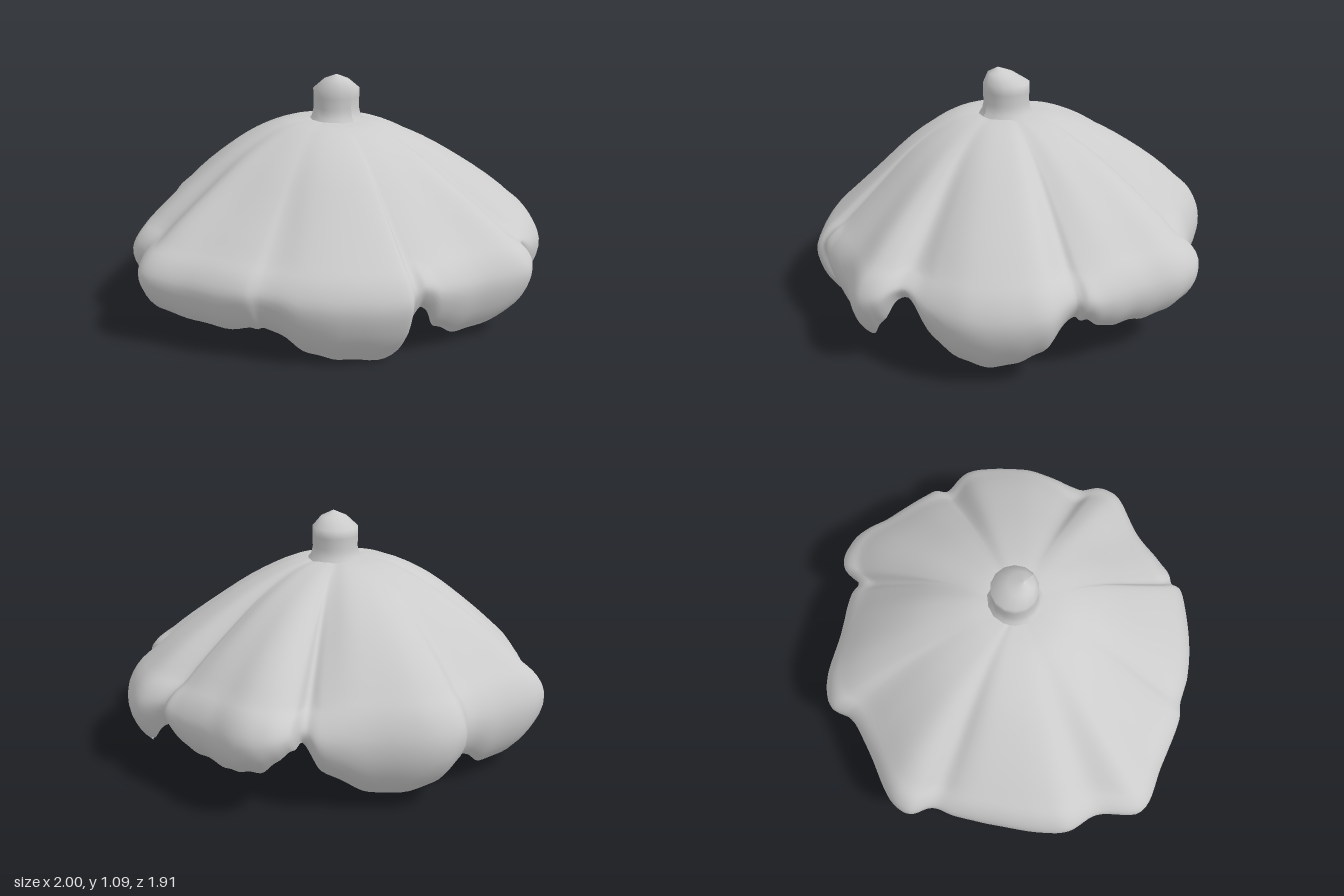
import * as THREE from 'three';

const V = (x, y, z) => new THREE.Vector3(x, y, z);
const material = new THREE.MeshStandardMaterial({ color: 0xcccccc, side: THREE.DoubleSide });

// Plan outline of the eight petals: x, z of the widest point and y of the rim below it
const outline = new THREE.CatmullRomCurve3([
  [0.78, -0.42, 0.31], [0.88, -0.43, 0.32], [0.96, -0.37, 0.25], [1.0, -0.25, 0.21],
  [0.98, -0.08, 0.19], [0.97, 0.1, 0.21], [0.95, 0.21, 0.26], [0.91, 0.25, 0.27],
  [0.94, 0.4, 0.17], [0.88, 0.53, 0.09], [0.75, 0.68, 0.08], [0.6, 0.76, 0.18],
  [0.46, 0.8, 0.34], [0.42, 0.9, 0.22], [0.33, 0.95, 0.12], [0.1, 0.89, 0.06],
  [-0.1, 0.87, 0.13], [-0.18, 0.85, 0.24], [-0.23, 0.83, 0.19], [-0.29, 0.85, 0.05],
  [-0.5, 0.71, 0.01], [-0.64, 0.57, 0.06], [-0.73, 0.43, 0.15], [-0.78, 0.38, 0.14],
  [-0.9, 0.15, 0.13], [-1.0, -0.07, 0.18], [-0.88, -0.25, 0.25], [-0.85, -0.4, 0.17],
  [-0.77, -0.5, 0.1], [-0.6, -0.65, 0.09], [-0.45, -0.77, 0.15], [-0.36, -0.83, 0.25],
  [-0.31, -0.93, 0.2], [-0.2, -0.96, 0.12], [0.05, -0.9, 0.09], [0.24, -0.87, 0.2],
  [0.34, -0.91, 0.2], [0.47, -0.85, 0.1], [0.62, -0.66, 0.08], [0.76, -0.49, 0.2],
].map(([x, z, y]) => V(x, y, z)), true, 'centripetal');

// Section from crown to curled rim: share of the outline radius, height
const section = new THREE.CatmullRomCurve3([
  [0.01, 0.885], [0.12, 0.887], [0.25, 0.868], [0.45, 0.775], [0.66, 0.63], [0.87, 0.465],
  [0.96, 0.375], [1, 0.27], [0.96, 0.12], [0.87, 0], [0.84, -0.05],
].map(([r, y]) => V(r, y, 0)));

// Folds between petals: angle in degrees, depth, half width
const folds = [
  [-30, 0.05, 9], [14, 0.035, 7], [60, 0.022, 9], [102, 0.01, 9],
  [149, 0.012, 9], [197, 0.015, 10], [247, 0.04, 7], [290, 0.012, 10],
];

function foldDepth(angle) {
  let depth = 0;
  for (const [deg, amount, width] of folds) {
    const d = Math.abs(THREE.MathUtils.euclideanModulo(angle - deg + 180, 360) - 180);
    depth += amount * Math.exp(-((d / width) ** 2));
  }
  return depth;
}

// Parameter at which the section reaches a given height
function sectionEnd(height) {
  let lo = 0.3, hi = 1;
  for (let k = 0; k < 18; k++) {
    const mid = (lo + hi) / 2;
    if (section.getPoint(mid).y > height) lo = mid; else hi = mid;
  }
  return lo;
}

function petalCanopy() {
  const around = 280, down = 30, curlTop = 0.45, pos = [], index = [];
  for (let i = 0; i < around; i++) {
    const p = outline.getPoint(i / around);
    const radius = Math.hypot(p.x, p.z), a = Math.atan2(p.z, p.x);
    const ragged = 0.005 * Math.sin(i * 1.1) + 0.005 * Math.sin(i * 0.63 + 1);
    const rim = Math.max(0, p.y + ragged), cut = 0.45 * rim;
    const end = sectionEnd(cut);
    const fold = foldDepth(THREE.MathUtils.radToDeg(a));
    const lift = 0.02 + 0.045 * Math.cos(a + 0.9);
    for (let j = 0; j <= down; j++) {
      const s = section.getPoint(end * j / down);
      // Folds and lift fade out at the crown and rim
      const slope = Math.sin(Math.PI * THREE.MathUtils.clamp((0.9 - s.y) / 0.68, 0, 1));
      // The upper slope is rounder in plan than the rim
      const r = s.x * THREE.MathUtils.lerp(0.95, radius, THREE.MathUtils.smoothstep(s.x, 0.15, 0.85));
      // Short petals roll under within less height
      const y = s.y > curlTop ? s.y : curlTop - (curlTop - s.y) * (curlTop - rim) / (curlTop - cut);
      pos.push(r * Math.cos(a), y + slope * (lift - fold), r * Math.sin(a));
      if (j < down) {
        const q = i * (down + 1) + j, n = ((i + 1) % around) * (down + 1) + j;
        index.push(q, n, q + 1, n, n + 1, q + 1);
      }
    }
  }
  const g = new THREE.BufferGeometry();
  g.setAttribute('position', new THREE.Float32BufferAttribute(pos, 3));
  g.setIndex(index);
  g.computeVertexNormals();
  return g;
}

// Stubby stalk with a small foot and a tip leaning off centre
function stalkGeometry() {
  const profile = [[0.14, 0.87], [0.115, 0.9], [0.106, 0.94], [0.108, 0.99], [0.108, 1.03], [0.06, 1.075], [0, 1.1]];
  const g = new THREE.LatheGeometry(profile.map(([r, y]) => new THREE.Vector2(r, y)), 14);
  const p = g.attributes.position;
  for (let i = 0; i < p.count; i++) {
    const lean = THREE.MathUtils.smoothstep(p.getY(i), 1.03, 1.1);
    p.setX(i, p.getX(i) + 0.037 - 0.025 * lean);
    p.setZ(i, p.getZ(i) + 0.005 + 0.03 * lean);
  }
  g.computeVertexNormals();
  return g;
}

export function createModel() {
  const group = new THREE.Group();
  const add = (name, geometry) => {
    const mesh = new THREE.Mesh(geometry, material);
    mesh.name = name;
    group.add(mesh);
  };
  add('petalCanopy', petalCanopy());
  add('stalk', stalkGeometry());
  return group;
}
